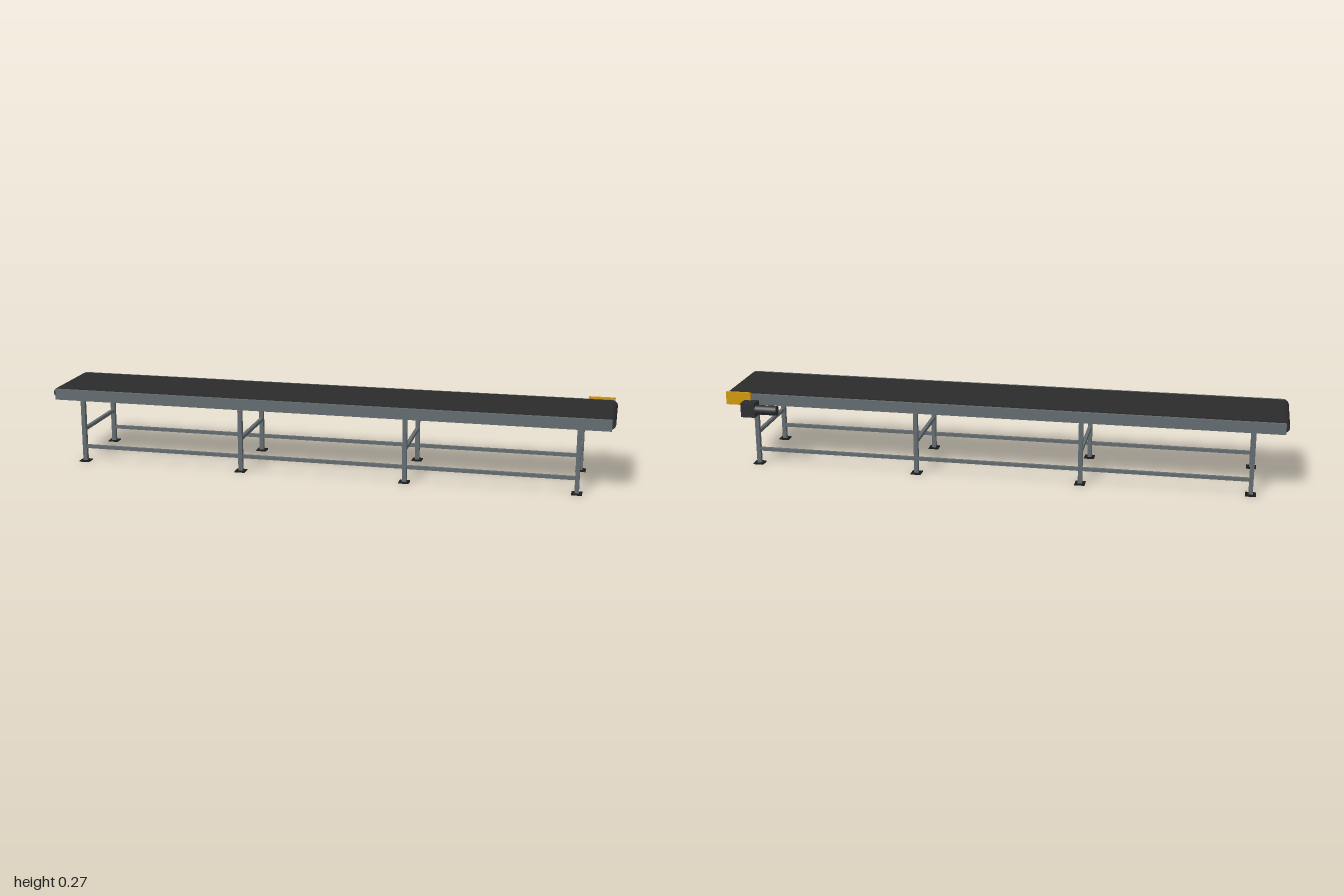
import * as THREE from 'three';

const material = (name, color) => {
  const m = new THREE.MeshStandardMaterial({ color });
  m.name = name;
  return m;
};

export function createModel() {
  const steel = material('grey steel', 0x636c70);
  const rubber = material('belt rubber', 0x2b2b2b);
  const motorGrey = material('motor grey', 0x2d2e30);
  const black = material('foot black', 0x1a1a1a);
  const yellow = material('safety yellow', 0xd29a0a);

  const model = new THREE.Group();
  model.name = 'conveyor';
  const midZ = 0.0185; // centre line of the belt
  const beltY = 0.247;

  function add(name, geometry, mat, x, y, z, parent = model) {
    const mesh = new THREE.Mesh(geometry, mat);
    mesh.name = name;
    mesh.position.set(x, y, z);
    parent.add(mesh);
    return mesh;
  }
  const box = (name, mat, w, h, d, x, y, z, parent) =>
    add(name, new THREE.BoxGeometry(w, h, d), mat, x, y, z, parent);

  // Endless belt: a long slot outline with round ends, extruded across
  const r = 0.0193, end = 1 - r, width = 0.255;
  const outline = new THREE.Shape();
  outline.moveTo(-end, -r);
  outline.lineTo(end, -r);
  outline.absarc(end, 0, r, -Math.PI / 2, Math.PI / 2, false);
  outline.lineTo(-end, r);
  outline.absarc(-end, 0, r, Math.PI / 2, Math.PI * 1.5, false);
  const belt = new THREE.ExtrudeGeometry(outline, { depth: width, bevelEnabled: false, curveSegments: 16 });
  add('belt', belt, rubber, 0, beltY, midZ - width / 2);

  // Roller shafts at both ends, reaching the side rails
  for (const x of [-end, end]) {
    const shaft = add('rollerShaft', new THREE.CylinderGeometry(0.009, 0.009, 0.27, 20), motorGrey, x, beltY, midZ);
    shaft.rotation.x = Math.PI / 2;
  }

  // Side rails and lower stringers
  for (const side of [-1, 1]) {
    box('sideRail', steel, 1.976, 0.039, 0.009, 0, 0.2445, midZ + side * 0.1385);
    box('stringer', steel, 1.766, 0.012, 0.011, 0, 0.056, midZ + side * 0.1385);
  }

  // Four leg frames
  for (const x of [-0.883, -0.2943, 0.2943, 0.883]) {
    const frame = new THREE.Group();
    frame.name = 'legFrame';
    frame.position.set(x, 0, midZ);
    model.add(frame);
    for (const side of [-1, 1]) {
      box('leg', steel, 0.015, 0.222, 0.015, 0, 0.114, side * 0.1385, frame);
      box('foot', black, 0.036, 0.004, 0.036, 0, 0.002, side * 0.1385, frame);
    }
    box('crossBrace', steel, 0.012, 0.012, 0.265, 0, 0.12, 0, frame);
  }

  // Drive unit on the back rail
  box('gearbox', motorGrey, 0.052, 0.052, 0.047, 0.897, 0.217, -0.1505);
  const motor = add('motor', new THREE.CylinderGeometry(0.0175, 0.0175, 0.08, 24), motorGrey, 0.833, 0.217, -0.157);
  motor.rotation.z = Math.PI / 2;
  box('driveGuard', yellow, 0.092, 0.047, 0.008, 0.945, beltY, -0.1302);

  return model;
}
